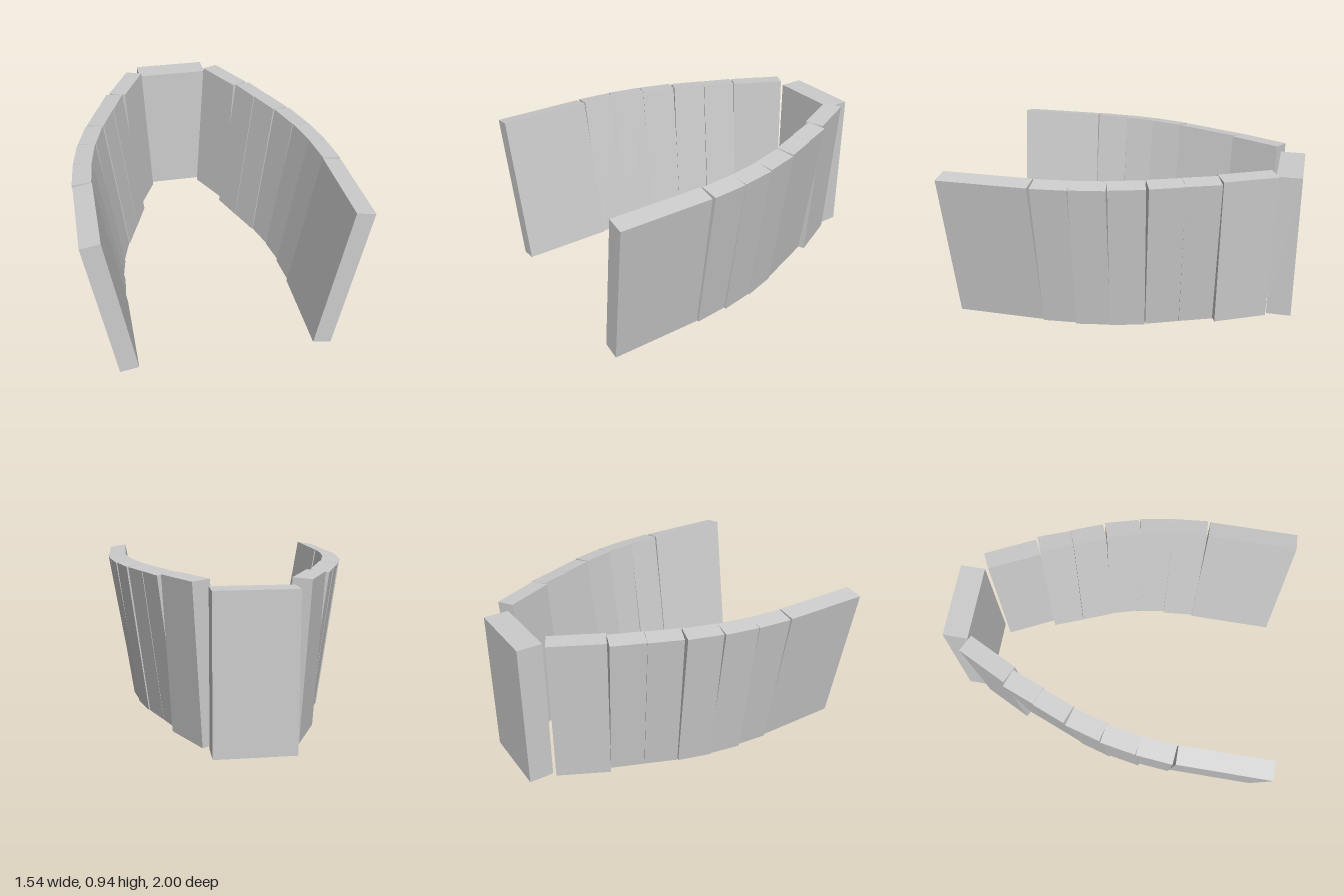
import * as THREE from 'three';

const material = new THREE.MeshStandardMaterial({ color: 0xcccccc, flatShading: true });
const HEIGHT = 0.922, THICKNESS = 0.11, TOP = 0.935;

// Inner top edge of each wall slab: front x, front z, back x, back z, outward lean in degrees
const SLABS = [
  [0.66, 1.0, 0.66, 0.46, 9.4],
  [0.664, 0.453, 0.645, 0.245, 9],
  [0.645, 0.25, 0.609, 0.047, 8.1],
  [0.605, 0.05, 0.547, -0.152, 7.4],
  [0.54, -0.155, 0.464, -0.345, 7.4],
  [0.46, -0.345, 0.385, -0.537, 7.2],
  [0.366, -0.53, 0.22, -0.823, 3.5],
];

// A slab hangs from its inner top edge, turned along the curve and leaning outward
function makeSlab([x0, z0, x1, z1, lean], side) {
  const length = Math.hypot(x0 - x1, z0 - z1);
  const geometry = new THREE.BoxGeometry(THICKNESS, HEIGHT, length);
  geometry.translate(side * THICKNESS / 2, -HEIGHT / 2, 0);
  const slab = new THREE.Mesh(geometry, material);
  slab.position.set(side * (x0 + x1) / 2, TOP, (z0 + z1) / 2);
  slab.rotation.order = 'YXZ';
  slab.rotation.y = side * Math.atan2(x0 - x1, z0 - z1);
  slab.rotation.z = -side * THREE.MathUtils.degToRad(lean);
  return slab;
}

export function createModel() {
  const model = new THREE.Group();
  model.name = 'curvedWall';

  // Two mirrored curved walls
  for (const [name, side] of [['leftWall', 1], ['rightWall', -1]]) {
    const wall = new THREE.Group();
    wall.name = name;
    SLABS.forEach((data, i) => {
      const slab = makeSlab(data, side);
      slab.name = `${name}Slab${i + 1}`;
      wall.add(slab);
    });
    model.add(wall);
  }

  // Upright block closing the back
  const back = new THREE.Mesh(new THREE.BoxGeometry(0.46, 0.9, 0.15), material);
  back.name = 'backBlock';
  back.position.set(0, 0.45, -0.925);
  model.add(back);

  return model;
}
